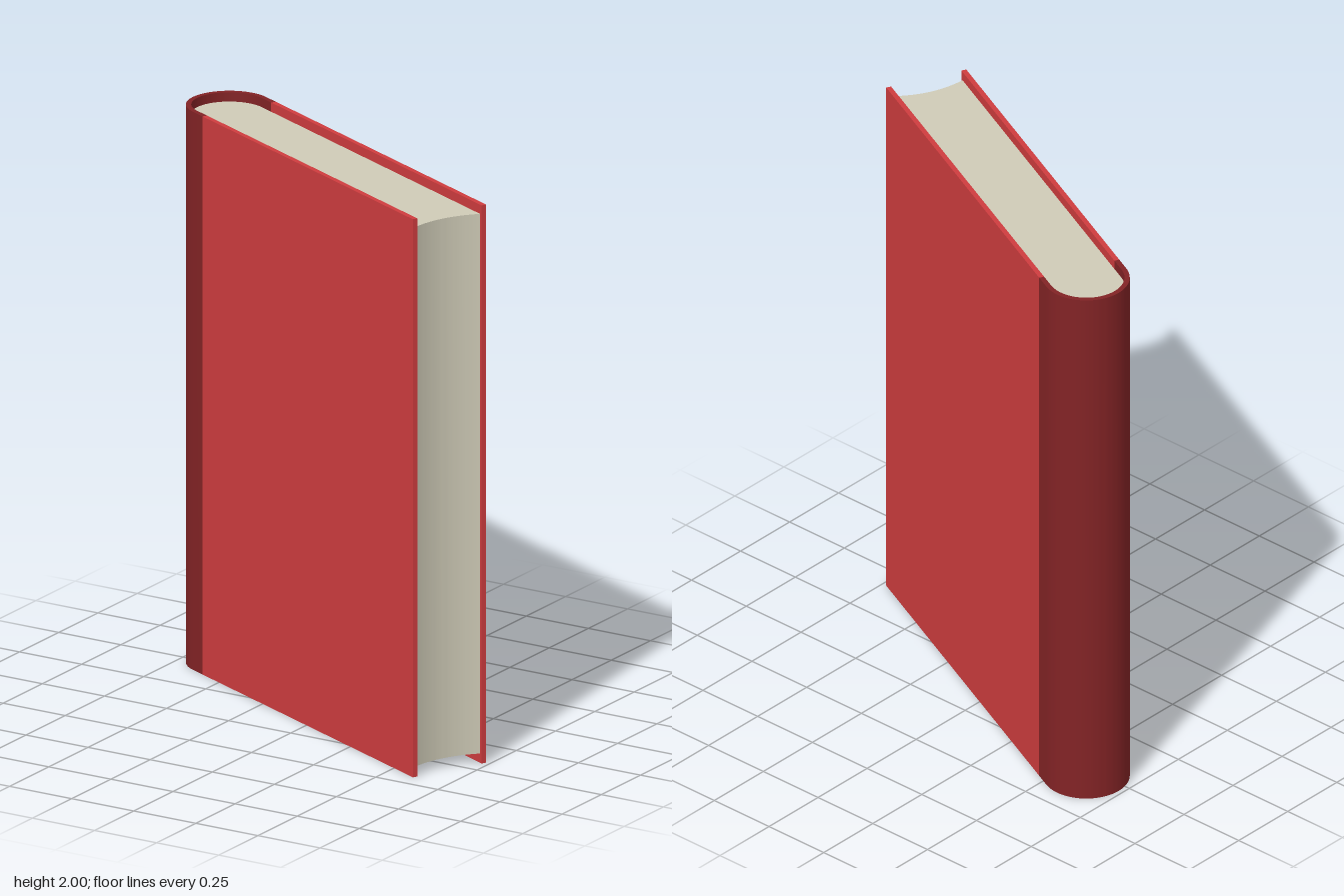
import * as THREE from 'three';
import { toCreasedNormals } from 'three/addons/utils/BufferGeometryUtils.js';

const R = 0.148;          // half thickness of the book
const T = 0.018;          // board thickness
const SPINE_X = -0.655;   // centre of the rounded spine
const JOINT_X = -0.594;   // where spine cloth meets the boards
const EDGE_X = 0.731;     // free edge of the boards
const HEIGHT = 2;
const INSET = 0.033;      // pages sit back from the boards

const material = (name, color) => {
  const m = new THREE.MeshStandardMaterial({ color });
  m.name = name;
  return m;
};

// Upright prism from a plan outline, smooth on curves and sharp on edges
function upright(name, shape, bottom, height, mat) {
  const extruded = new THREE.ExtrudeGeometry(shape, { depth: height, bevelEnabled: false, curveSegments: 32 });
  extruded.rotateX(-Math.PI / 2);
  extruded.translate(0, bottom, 0);
  const mesh = new THREE.Mesh(toCreasedNormals(extruded, Math.PI / 6), mat);
  mesh.name = name;
  return mesh;
}

export function createModel() {
  const coverRed = material('coverRed', 0xce3c3e);
  const spineRed = material('spineDarkRed', 0x822325);
  const paper = material('paper', 0xcfcbb7);

  const book = new THREE.Group();
  book.name = 'book';

  // Front and back boards
  for (const side of [1, -1]) {
    const board = new THREE.Mesh(new THREE.BoxGeometry(EDGE_X - JOINT_X, HEIGHT, T), coverRed);
    board.position.set((EDGE_X + JOINT_X) / 2, HEIGHT / 2, side * (R - T / 2));
    board.name = side > 0 ? 'frontCover' : 'backCover';
    book.add(board);
  }

  // Rounded spine wrapping onto both boards
  const r = R - T;
  const spine = new THREE.Shape();
  spine.moveTo(JOINT_X, R);
  spine.lineTo(SPINE_X, R);
  spine.absarc(SPINE_X, 0, R, Math.PI / 2, Math.PI * 1.5, false);
  spine.lineTo(JOINT_X, -R);
  spine.lineTo(JOINT_X, -r);
  spine.lineTo(SPINE_X, -r);
  spine.absarc(SPINE_X, 0, r, Math.PI * 1.5, Math.PI / 2, true);
  spine.lineTo(JOINT_X, r);
  spine.closePath();
  book.add(upright('spine', spine, 0, HEIGHT, spineRed));

  // Page block with a rounded back and a hollow fore edge
  const pageEdge = EDGE_X - 0.01;
  const pages = new THREE.Shape();
  pages.moveTo(pageEdge, r);
  pages.lineTo(SPINE_X, r);
  pages.absarc(SPINE_X, 0, r, Math.PI / 2, Math.PI * 1.5, false);
  pages.lineTo(pageEdge, -r);
  pages.quadraticCurveTo(pageEdge - 0.05, 0, pageEdge, r);
  book.add(upright('pages', pages, INSET, HEIGHT - 2 * INSET, paper));

  // Turn the standing book
  const turn = THREE.MathUtils.degToRad(-25);
  book.rotation.y = turn;
  book.position.set(0.008, 0, -0.009);

  const model = new THREE.Group();
  model.name = 'standingBook';
  model.add(book);
  return model;
}
